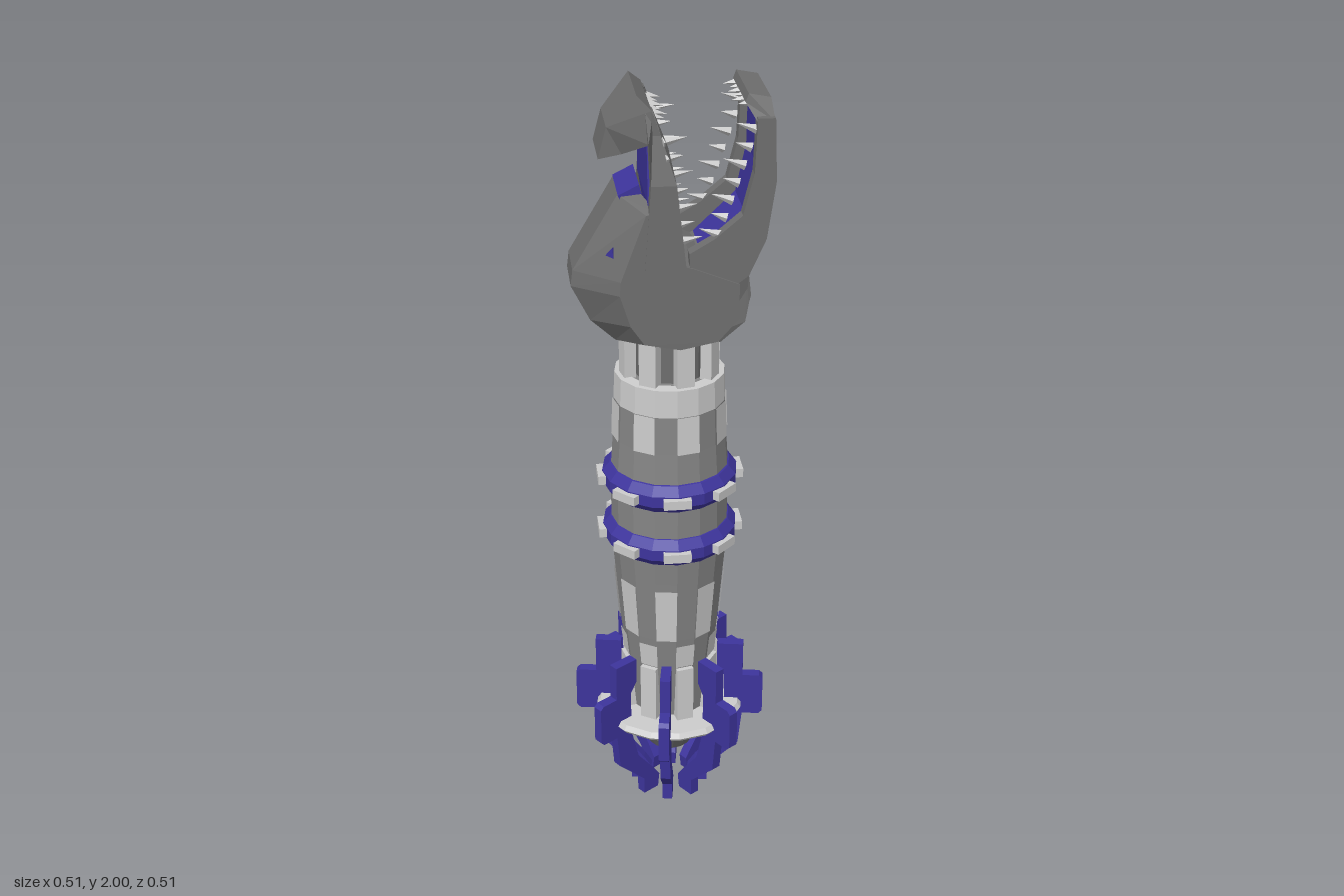
import * as THREE from 'three';

const mat = (color) => new THREE.MeshStandardMaterial({ color, flatShading: true, side: THREE.DoubleSide });
const light = mat(0xcccccc), grey = mat(0x858585), dark = mat(0x6e6e6e), purple = mat(0x3d349c);
const deg = Math.PI / 180;

function add(parent, name, geometry, material) {
  const mesh = new THREE.Mesh(geometry, material);
  mesh.name = name;
  parent.add(mesh);
  return mesh;
}

// Side profile extruded from z0 to z1; an optional rule then moves each vertex
function slab(points, z0, z1, rule, steps = 1) {
  const shape = new THREE.Shape(points.map(([x, y]) => new THREE.Vector2(x, y)));
  const geo = new THREE.ExtrudeGeometry(shape, { depth: z1 - z0, steps, bevelEnabled: false });
  geo.translate(0, 0, z0);
  if (rule) {
    const p = geo.attributes.position, v = new THREE.Vector3();
    for (let i = 0; i < p.count; i++) {
      rule(v.fromBufferAttribute(p, i));
      p.setXYZ(i, v.x, v.y, v.z);
    }
    geo.computeVertexNormals();
  }
  return geo;
}

// Sixteen-sided turned part, facets lined up with fins and panels
const turned = (profile) => new THREE.LatheGeometry(
  profile.map(([r, y]) => new THREE.Vector2(r, y)), 16, 1.25 * deg);

// One flat facet lying just above the body
function panel(parent, y0, r0, y1, r1, angle) {
  const geo = new THREE.CylinderGeometry(r1 + 0.004, r0 + 0.004, y1 - y0, 1, 1, true,
    (angle - 11.25) * deg, 22.5 * deg);
  add(parent, 'bodyPanel', geo.translate(0, (y0 + y1) / 2, 0), light);
}

function createBody() {
  const body = new THREE.Group();
  body.name = 'body';
  add(body, 'tailCone', turned([[0, 0.14], [0.06, 0.14], [0.125, 0.25], [0.125, 0.28]]), dark);
  add(body, 'tailRing', turned([[0.1, 0.26], [0.19, 0.26], [0.2, 0.272], [0.19, 0.285], [0.1, 0.285]]), light);
  add(body, 'hull', turned([[0, 0.28], [0.105, 0.28], [0.12, 0.45], [0.13, 0.54], [0.145, 0.72],
    [0.152, 0.8], [0.152, 1.0], [0.145, 1.1], [0.137, 1.27], [0.11, 1.27], [0, 1.27]]), grey);
  add(body, 'neckCore', turned([[0.09, 1.26], [0.09, 1.42]]), dark);
  add(body, 'topBand', turned([[0.142, 1.2], [0.139, 1.272], [0.11, 1.274]]), light);
  for (const y of [0.825, 0.98]) {
    add(body, 'bandRing', turned([[0.145, y - 0.04], [0.155, y - 0.037], [0.174, y - 0.015],
      [0.174, y + 0.015], [0.155, y + 0.037], [0.145, y + 0.04]]), purple);
    for (let i = 0; i < 8; i++) {
      const stud = new THREE.BoxGeometry(0.07, 0.024, 0.025).translate(0, y, 0.174).rotateY(i * 45 * deg);
      add(body, 'bandStud', stud, light);
    }
  }
  for (let i = 0; i < 8; i++) {
    const a = 12.5 + i * 45;
    panel(body, 1.1, 0.145, 1.2, 0.141, a);
    panel(body, 0.54, 0.13, 0.7, 0.143, a + 22.5);
    panel(body, 0.45, 0.12, 0.52, 0.128, a);
    // Ribs at the tail and the neck
    add(body, 'tailRib', new THREE.BoxGeometry(0.045, 0.17, 0.03)
      .translate(0, 0.36, 0.115).rotateY(a * deg), light);
    add(body, 'neckRib', new THREE.BoxGeometry(0.045, 0.15, 0.03)
      .translate(0, 1.335, 0.11).rotateY(a * deg), light);
  }
  return body;
}

function createFins() {
  const fins = new THREE.Group();
  fins.name = 'fins';
  const profile = [[0.13, 0.46], [0.2, 0.46], [0.2, 0.36], [0.245, 0.36], [0.255, 0.35], [0.255, 0.245],
    [0.245, 0.235], [0.2, 0.235], [0.19, 0.135], [0.105, 0.05], [0.105, 0], [0.055, 0], [0.05, 0.04],
    [0.07, 0.07], [0.125, 0.14], [0.15, 0.235], [0.15, 0.36], [0.13, 0.39]];
  for (let i = 0; i < 8; i++) {
    add(fins, 'fin', slab(profile, -0.0135, 0.0135), purple).rotation.y = -(10 + 45 * i) * deg;
  }
  return fins;
}

// Teeth spaced along a line, tips leaning along dir
function teeth(parent, from, to, count, dir, length) {
  const a = new THREE.Vector3(...from), b = new THREE.Vector3(...to);
  const d = new THREE.Vector3(...dir).normalize();
  for (let i = 0; i < count; i++) {
    const size = length * (i % 2 ? 0.75 : 1);
    const tooth = add(parent, 'tooth', new THREE.ConeGeometry(0.012, size, 4).translate(0, size / 2 - 0.006, 0), light);
    tooth.position.lerpVectors(a, b, i / (count - 1));
    tooth.quaternion.setFromUnitVectors(new THREE.Vector3(0, 1, 0), d);
  }
}

function createHead() {
  const head = new THREE.Group();
  head.name = 'head';

  // Skull: narrow along the back, widening to flat cheeks
  const skull = [[-0.08, 1.76], [-0.13, 1.755], [-0.24, 1.57], [-0.245, 1.53], [-0.2, 1.44], [-0.14, 1.385],
    [0.01, 1.365], [0.1, 1.385], [0.15, 1.45], [0.15, 1.55], [0.04, 1.6], [-0.04, 1.62]];
  add(head, 'skull', slab(skull, -0.15, 0.15, (v) => {
    if (Math.abs(v.z) > 0.1) {
      if (v.x < 0) v.x *= 0.55;
      v.y = 1.55 + (v.y - 1.55) * 0.88;
    } else v.z = Math.sign(v.z) * 0.065;
  }, 3), dark);
  add(head, 'browPlate', slab([[-0.13, 1.755], [-0.08, 1.78], [-0.07, 1.74], [-0.12, 1.73]], -0.075, 0.075), purple);

  // Upper jaw: roof, snout and side walls drawn in toward the tip
  add(head, 'palate', slab([[-0.065, 1.93], [-0.04, 1.93], [0, 1.58], [-0.04, 1.56], [-0.065, 1.75]],
    -0.125, 0.125, (v) => { if (v.y > 1.9) v.z *= 0.8; }), purple);
  add(head, 'snout', slab([[-0.175, 1.845], [-0.155, 1.92], [-0.087, 2], [-0.055, 1.97], [-0.03, 1.9],
    [-0.06, 1.89], [-0.12, 1.855]], -0.1, 0.1, (v) => {
    v.z *= v.x < -0.1 ? 0.75 : v.x > -0.065 ? 1.25 : 1;
  }), dark);
  const upperWall = [[-0.07, 1.975], [-0.05, 1.965], [-0.02, 1.89], [0, 1.8], [0.03, 1.53], [-0.02, 1.51],
    [-0.075, 1.59], [-0.06, 1.8], [-0.065, 1.9]];

  // Lower jaw: floor, chin bar, hinge block and side walls
  const lowerWall = [[0.232, 1.8], [0.226, 1.95], [0.185, 1.95], [0.18, 1.82], [0.155, 1.72], [0.09, 1.665],
    [0.03, 1.63], [0.04, 1.47], [0.1, 1.41], [0.165, 1.45], [0.178, 1.52], [0.172, 1.57], [0.212, 1.66]];
  add(head, 'jawFloor', slab([[0.06, 1.58], [0.16, 1.6], [0.205, 1.67], [0.222, 1.8], [0.217, 1.965],
    [0.2, 1.965], [0.2, 1.81], [0.175, 1.69]], -0.122, 0.122, (v) => { if (v.y > 1.9) v.z *= 0.75; }), purple);
  add(head, 'chinBar', slab([[0.226, 1.94], [0.222, 1.985], [0.17, 1.995], [0.163, 1.975], [0.185, 1.94]],
    -0.14, 0.14, (v) => { if (v.y > 1.96) v.z *= 0.7; }), dark);
  add(head, 'jawHinge', slab([[0.06, 1.4], [0.11, 1.39], [0.166, 1.45], [0.178, 1.52], [0.172, 1.57],
    [0.2, 1.64], [0.17, 1.64], [0.05, 1.58]], -0.14, 0.14, (v) => { if (v.y < 1.43) v.z *= 0.85; }), dark);

  for (const s of [-1, 1]) {
    const taper = (v) => {
      if (v.y > 1.93) v.z -= s * 0.04;
      v.z += s * (v.y < 1.47 ? -0.015 : 0);
    };
    const inner = s > 0 ? 0.118 : -0.152, outer = inner + 0.034;
    add(head, 'upperJawWall', slab(upperWall, inner, outer, taper), dark);
    add(head, 'lowerJawWall', slab(lowerWall, inner - s * 0.006, outer - s * 0.006, (v) => {
      if (v.y < 1.47) v.z -= s * 0.02;
    }), dark);
    // Eye slits on the cheek
    for (const y of [1.54, 1.62]) {
      const eye = add(head, 'eye', slab([[-0.025, -0.015], [0.015, -0.02], [0.01, 0.025]], -0.01, 0.01), purple);
      eye.position.set(-0.15, y, s * 0.108);
      eye.rotation.y = -s * 40 * deg;
    }
    teeth(head, [-0.025, 1.9, s * 0.133], [0.012, 1.66, s * 0.137], 7, [1, 0.15, -s * 0.15], 0.06);
    teeth(head, [0.184, 1.92, s * 0.125], [0.1, 1.67, s * 0.128], 7, [-1, 0.3, -s * 0.15], 0.055);
  }
  teeth(head, [-0.05, 1.945, -0.085], [-0.05, 1.945, 0.085], 6, [1, -0.15, 0], 0.045);
  teeth(head, [0.175, 1.97, -0.085], [0.175, 1.97, 0.085], 6, [-1, -0.1, 0], 0.045);
  return head;
}

export function createModel() {
  const model = new THREE.Group();
  model.name = 'toothedRocket';
  model.add(createBody(), createFins(), createHead());
  return model;
}
